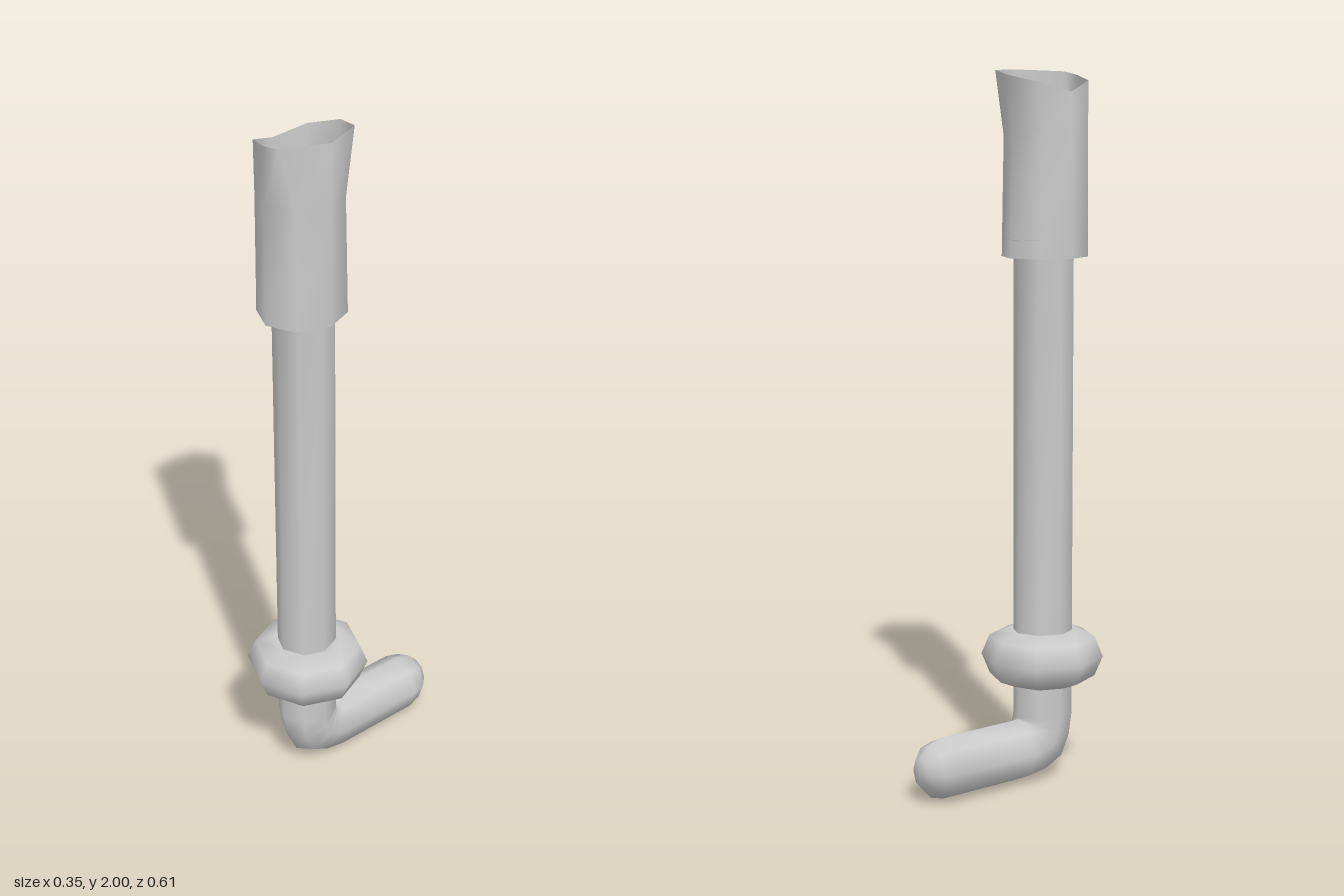
import * as THREE from 'three';
import { mergeVertices } from 'three/addons/utils/BufferGeometryUtils.js';

const SIDES = 8;
const AXIS_Z = 0.136;

// Skin over a list of rings, each holding SIDES points [x, y, z]
function loft(rings) {
  const index = [];
  for (let i = 0; i < rings.length - 1; i++) {
    for (let j = 0; j < SIDES; j++) {
      const k = (j + 1) % SIDES;
      const a = i * SIDES + j, b = i * SIDES + k, c = b + SIDES, d = a + SIDES;
      index.push(a, b, c, a, c, d);
    }
  }
  let geometry = new THREE.BufferGeometry();
  geometry.setAttribute('position', new THREE.Float32BufferAttribute(rings.flat(2), 3));
  geometry.setIndex(index);
  geometry = mergeVertices(geometry, 1e-5);
  geometry.computeVertexNormals();
  return geometry;
}

// Elliptical ring at (y, z), facing along an angle from +z (0) to +y (90)
function ring(z, y, degrees, rx, rn) {
  const phi = THREE.MathUtils.degToRad(degrees);
  return Array.from({ length: SIDES }, (_, j) => {
    const a = (j / SIDES) * Math.PI * 2;
    const n = rn * Math.sin(a);
    return [rx * Math.cos(a), y + n * Math.cos(phi), z - n * Math.sin(phi)];
  });
}

export function createModel() {
  const group = new THREE.Group();
  const material = new THREE.MeshStandardMaterial({ color: 0xcccccc });
  const openMaterial = new THREE.MeshStandardMaterial({ color: 0xcccccc, side: THREE.DoubleSide });
  const add = (name, geometry, mat = material) => {
    const mesh = new THREE.Mesh(geometry, mat);
    mesh.name = name;
    group.add(mesh);
    return mesh;
  };

  // Bent pipe: rounded foot tip, foot, elbow, shaft and the flared plug in the sleeve
  const rx = 0.078, rn = 0.088, footY = 0.092;
  const pipe = [];
  for (const t of [0, 30, 60, 90]) {
    const s = Math.sin(THREE.MathUtils.degToRad(t));
    const c = Math.cos(THREE.MathUtils.degToRad(t));
    pipe.push(ring(-0.222 - 0.085 * c, footY, 0, rx * s, rn * s));
  }
  pipe.push(ring(0.045, footY, 0, rx, rn));
  for (const t of [22.5, 45, 67.5]) {
    const p = THREE.MathUtils.degToRad(t);
    const r = t === 45 ? 0.096 : 0.091;
    pipe.push(ring(0.046 + r * Math.sin(p), 0.182 - r * Math.cos(p), t, rx, r * 0.98));
  }
  pipe.push(
    ring(AXIS_Z, 0.185, 90, rx, rn),
    ring(AXIS_Z, 1.52, 90, rx, rn),
    ring(AXIS_Z, 1.54, 90, 0.113, 0.118),
    ring(AXIS_Z, 1.58, 90, 0.097, 0.1),
    ring(AXIS_Z, 1.61, 90, 0.055, 0.057),
    ring(AXIS_Z, 1.62, 90, 0, 0)
  );
  add('bentPipe', loft(pipe));

  // Collar around the lower shaft
  const collar = add('collar', new THREE.TorusGeometry(0.0945, 0.079, 8, SIDES).rotateX(Math.PI / 2));
  collar.position.set(0, 0.355, 0.134);

  // Open sleeve with a slanted, uneven lip
  const lip = [
    [0.119, 2.0, 0.137], [0.069, 1.998, 0.02], [-0.008, 1.985, 0.0], [-0.08, 1.965, 0.05],
    [-0.113, 1.94, 0.137], [-0.08, 1.97, 0.227], [0, 1.985, 0.255], [0.056, 1.995, 0.255],
  ];
  const sleeve = [
    ring(0.14, 1.49, 90, 0.116, 0.123),
    ring(0.142, 1.82, 90, 0.116, 0.116),
    lip,
  ];
  add('sleeve', loft(sleeve), openMaterial);

  return group;
}
